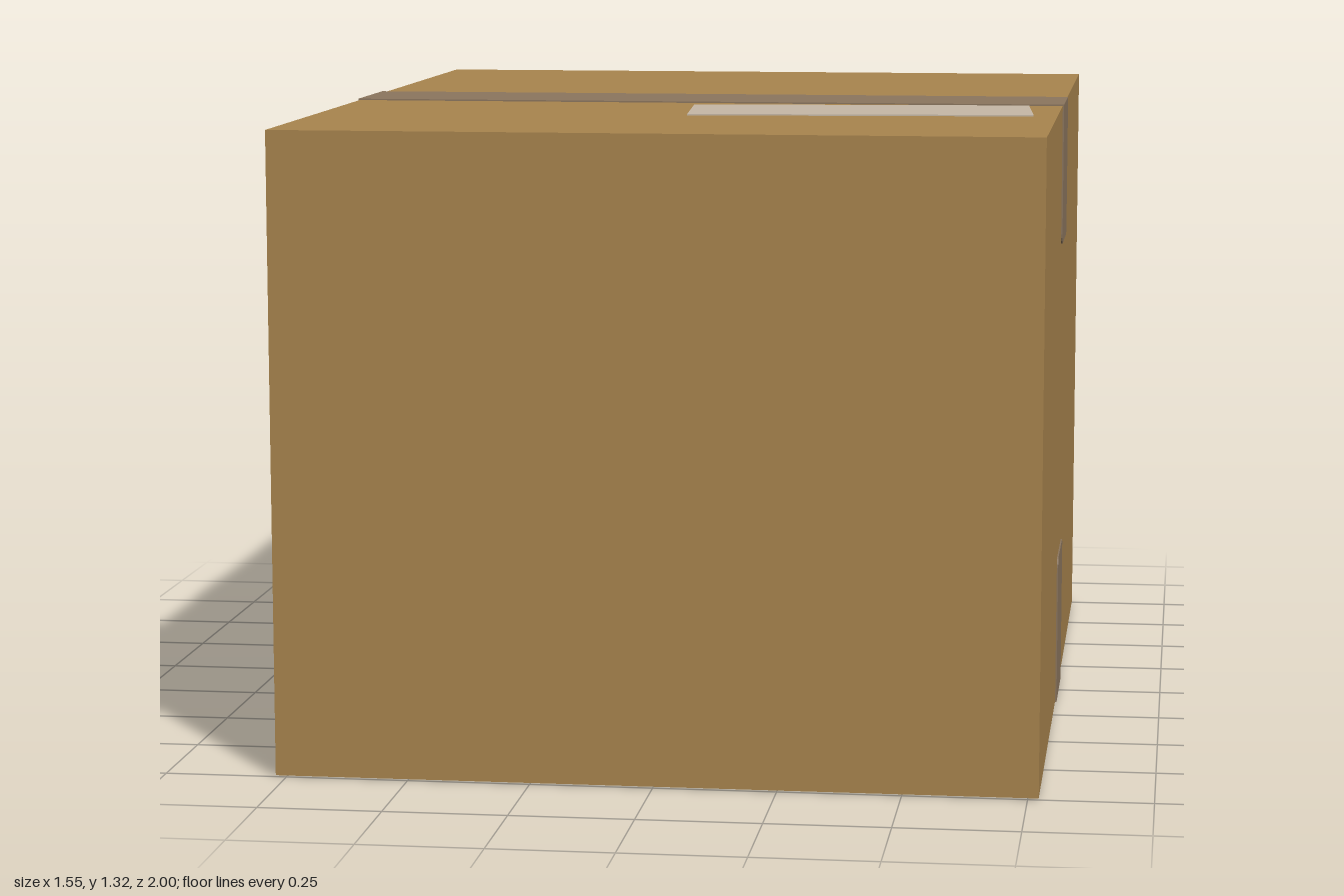
import * as THREE from 'three';

const W = 1.544, H = 1.31, D = 2, T = 0.003; // carton size and tape thickness

export function createModel() {
  const cardboard = new THREE.MeshStandardMaterial({ color: 0xa9854e });
  cardboard.name = 'cardboard';
  const tape = new THREE.MeshStandardMaterial({ color: 0x8c765e });
  tape.name = 'packing tape';
  const paper = new THREE.MeshStandardMaterial({ color: 0xc6b8a6 });
  paper.name = 'label paper';

  const model = new THREE.Group();
  model.name = 'cardboardBox';

  const add = (name, geometry, material, x, y, z) => {
    const mesh = new THREE.Mesh(geometry, material);
    mesh.name = name;
    mesh.position.set(x, y, z);
    model.add(mesh);
    return mesh;
  };

  // Closed carton
  add('carton', new THREE.BoxGeometry(W, H, D), cardboard, 0, T + H / 2, 0);

  // Tape along the top and bottom seams
  const tapeWidth = 0.25;
  const strip = new THREE.BoxGeometry(W + 2 * T, T, tapeWidth);
  add('topTape', strip, tape, 0, T + H + T / 2, 0);
  add('bottomTape', strip, tape, 0, T / 2, 0);

  // Tape end hanging down from y = 0, with rounded lower corners
  const tapeEnd = (length) => {
    const h = tapeWidth / 2, r = 0.022;
    const s = new THREE.Shape();
    s.moveTo(h, 0);
    s.lineTo(-h, 0);
    s.lineTo(-h, -length + r);
    s.quadraticCurveTo(-h, -length, -h + r, -length);
    s.lineTo(h - r, -length);
    s.quadraticCurveTo(h, -length, h, -length + r);
    s.closePath();
    return new THREE.ExtrudeGeometry(s, { depth: T, bevelEnabled: false, curveSegments: 5 });
  };
  const upperEnd = tapeEnd(0.3);
  const lowerEnd = tapeEnd(0.32).rotateZ(Math.PI);
  for (const [side, sign] of [['left', 1], ['right', -1]]) {
    const x = sign * W / 2;
    add(side + 'UpperTapeEnd', upperEnd, tape, x, H + T, 0).rotation.y = sign * Math.PI / 2;
    add(side + 'LowerTapeEnd', lowerEnd, tape, x, T, 0).rotation.y = sign * Math.PI / 2;
  }

  // Slightly crooked label on the top
  const topLabel = new THREE.BoxGeometry(0.72, T, 0.288);
  add('topLabel', topLabel, paper, 0.353, T + H + T / 2, 0.328).rotation.y = 0.077;

  // Label on the right side, towards the back
  const sideLabel = new THREE.BoxGeometry(T, 0.435, 0.6);
  add('sideLabel', sideLabel, paper, -W / 2 - T / 2, 0.748, -0.485);

  return model;
}
